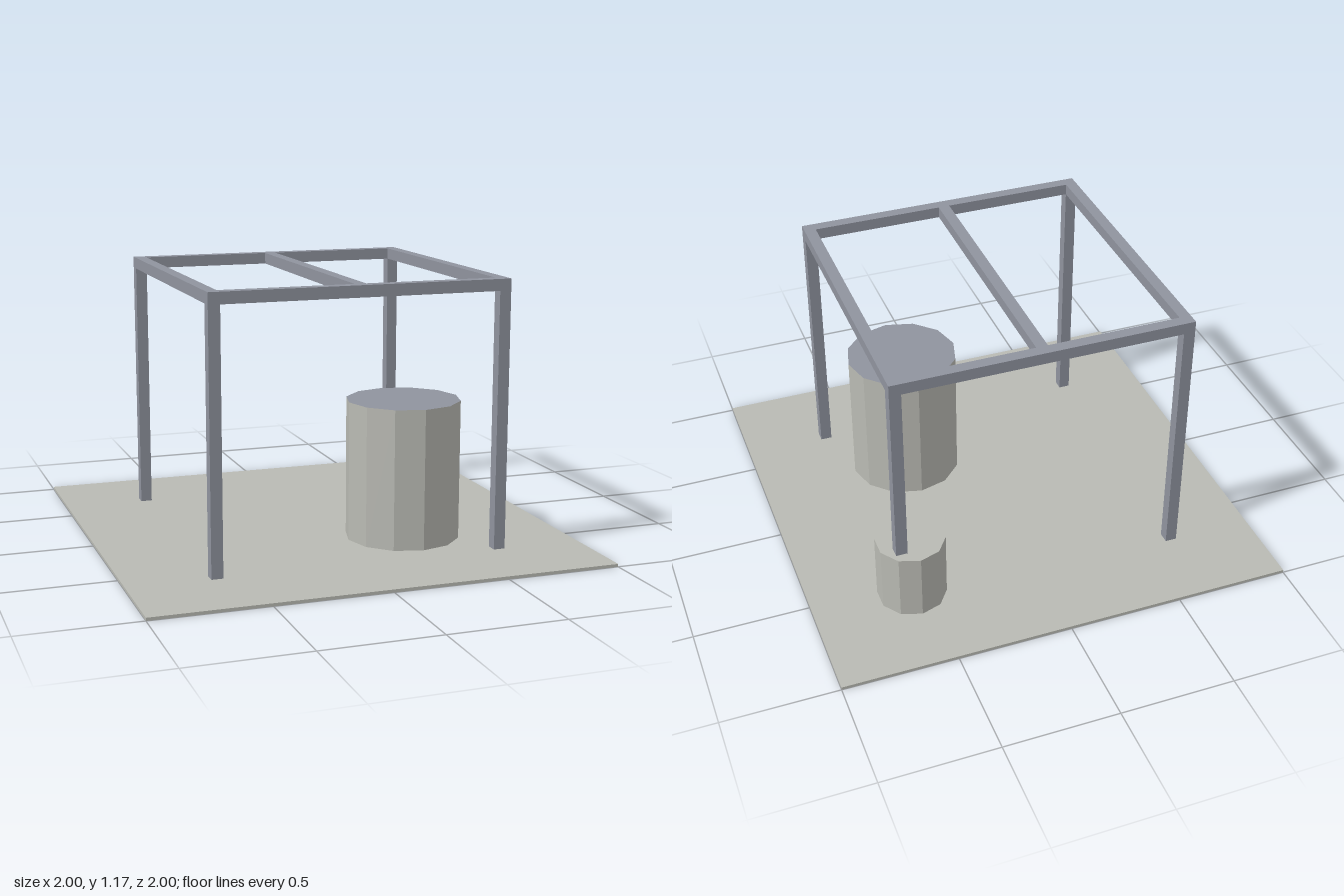
import * as THREE from 'three';

const material = (name, color) => {
  const m = new THREE.MeshStandardMaterial({ color, flatShading: true });
  m.name = name;
  return m;
};

export function createModel() {
  const concrete = material('pale concrete', 0xb9bab3);
  const steel = material('blue grey steel', 0x8f939e);

  const model = new THREE.Group();
  model.name = 'framedPlatform';

  const add = (parent, name, geometry, mat, x, y, z) => {
    const mesh = new THREE.Mesh(geometry, mat);
    mesh.name = name;
    mesh.position.set(x, y, z);
    parent.add(mesh);
  };

  // Ground slab
  const slab = 0.0125;
  add(model, 'groundSlab', new THREE.BoxGeometry(2, slab, 2), concrete, 0, slab / 2, 0);

  // Open frame: four posts, a square of rails and a middle rail
  const frame = new THREE.Group();
  frame.name = 'frame';
  model.add(frame);
  const bar = 0.05, reach = 0.625, top = 1.175;
  const railY = top - bar / 2;
  const inner = 2 * reach - bar;
  const postBase = 0.004, postHeight = top - bar - postBase;
  for (const side of [-1, 1]) {
    for (const end of [-1, 1]) {
      add(frame, 'post', new THREE.BoxGeometry(bar, postHeight, bar), steel,
        side * reach, postBase + postHeight / 2, end * reach);
    }
    add(frame, 'crossRail', new THREE.BoxGeometry(2 * reach + bar, bar, bar), steel, 0, railY, side * reach);
  }
  for (const x of [-reach, 0, reach]) {
    add(frame, x ? 'sideRail' : 'middleRail', new THREE.BoxGeometry(bar, bar, inner), steel, x, railY, 0);
  }

  // Drums standing on the slab; materials are side, top, bottom
  const drum = (name, radius, height, sides, mats, x, z) =>
    add(model, name, new THREE.CylinderGeometry(radius, radius, height, sides), mats, x, slab + height / 2, z);
  drum('largeDrum', 0.25, 0.6125, 12, [concrete, steel, concrete], 0.3125, 0.3125);
  drum('smallDrum', 0.15, 0.3, 10, concrete, 0.5625, -0.5625);

  return model;
}
